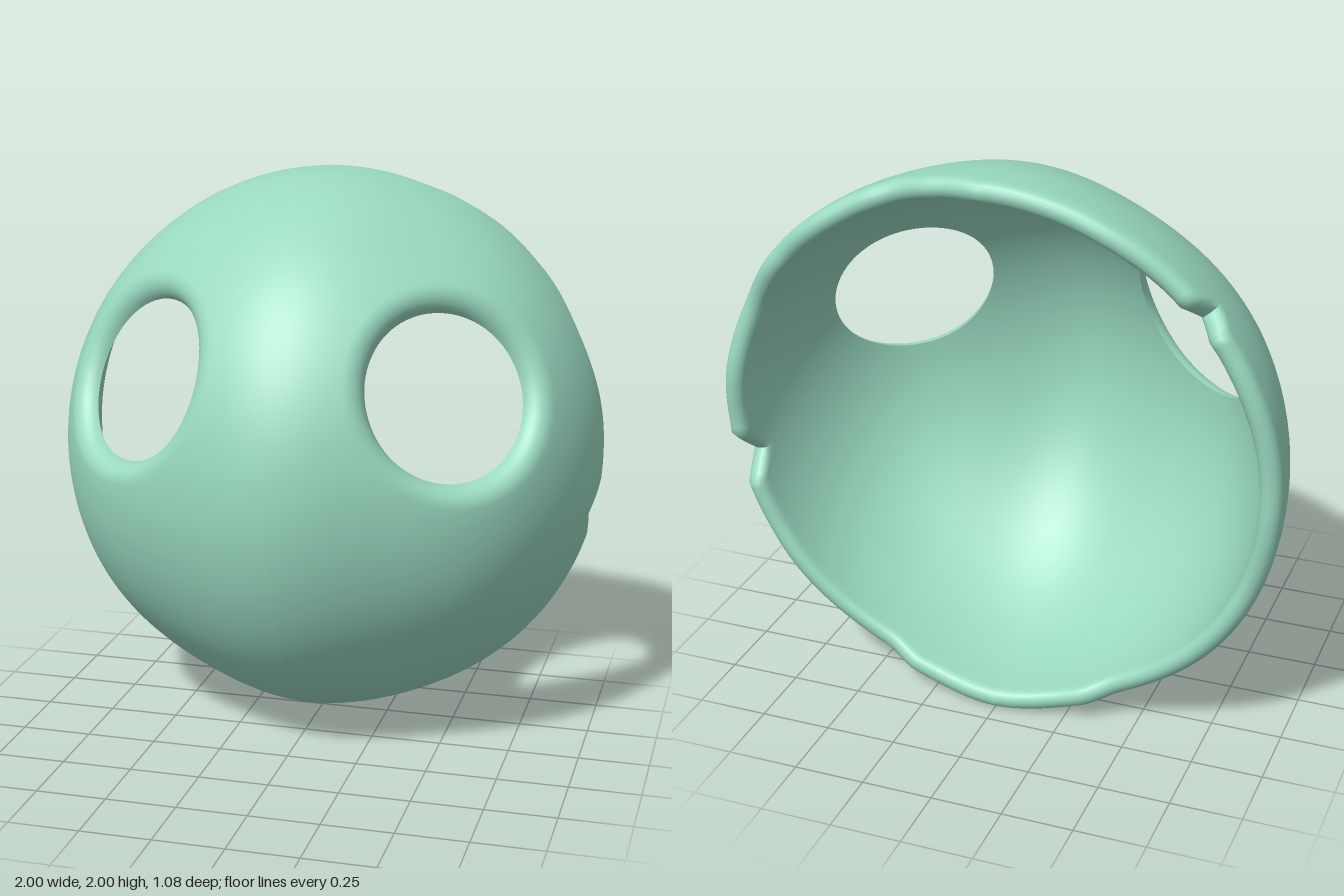
import * as THREE from 'three';
import { toCreasedNormals } from 'three/addons/utils/BufferGeometryUtils.js';

const CENTRE = new THREE.Vector3(0, 1, -0.46);
const INNER = 0.925, EYE_RADIUS = 0.295;
const RIM_STEPS = 120, RIDGE_STEPS = 60, SHEET_STEPS = 24, ROUND_STEPS = 8;

// uneven back edge: [angle in degrees, z]
const RIM = [[-90, -0.44], [-72, -0.41], [-63, -0.37], [-30, -0.4], [-16, -0.41], [-5, -0.44], [10, -0.465],
  [25, -0.45], [41, -0.51], [53, -0.54], [65, -0.52], [72, -0.5], [81, -0.52], [90, -0.54], [114, -0.535],
  [133, -0.51], [150, -0.49], [180, -0.46], [205, -0.42], [243, -0.37], [252, -0.41], [270, -0.44]];
// V-shaped nicks in the edge: [angle, half width, depth]
const NOTCHES = [[-10.5, 6, 0.1], [139.5, 4.5, 0.08]];

function rimZ(deg) {
  let i = 0;
  while (i < RIM.length - 2 && deg > RIM[i + 1][0]) i++;
  const [a, za] = RIM[i], [b, zb] = RIM[i + 1];
  let z = za + (zb - za) * THREE.MathUtils.smoothstep(deg, a, b);
  for (const [c, w, d] of NOTCHES) z += d * Math.max(0, 1 - Math.abs(deg - c) / w);
  return z;
}

// direction from the centre to the edge, short of the rounded lip
function rimDirection(deg, lip) {
  const t = THREE.MathUtils.degToRad(deg), z = rimZ(deg) + lip - CENTRE.z, r = Math.sqrt(1 - z * z);
  return new THREE.Vector3(Math.cos(t) * r, Math.sin(t) * r, z);
}

// dome surface, slightly flattened on either side of the centre ridge
function onDome(dir, radius) {
  const s = Math.sin(Math.PI * Math.min(1, Math.abs(dir.x) / 0.85));
  return dir.clone().multiplyScalar(radius * (1 - 0.04 * Math.max(0, dir.z) * s * s)).add(CENTRE);
}

// one half of the shell, spread outward from the eye hole
function halfShell(side) {
  const lip = (1 - INNER) / 2;
  const eye = new THREE.Vector3(0.6 * side, 0.37, 0.705).normalize();

  // boundary: round the edge, then down the centre ridge
  const boundary = [];
  for (let i = 0; i <= RIM_STEPS; i++) {
    const a = -90 + 180 * i / RIM_STEPS;
    boundary.push(rimDirection(side > 0 ? a : 180 - a, lip));
  }
  for (const i of [0, RIM_STEPS]) boundary[i].x = 0;
  const elevation = (v) => Math.atan2(v.z, v.y);
  const top = elevation(boundary[RIM_STEPS]), bottom = elevation(boundary[0]);
  const span = (bottom < 0 ? bottom + 2 * Math.PI : bottom) - top;
  for (let i = 1; i < RIDGE_STEPS; i++) {
    const a = top + span * i / RIDGE_STEPS;
    boundary.push(new THREE.Vector3(0, Math.cos(a), Math.sin(a)));
  }

  // closed section through the shell for every boundary point
  const hole = Math.asin(EYE_RADIUS / 0.92);
  const columns = boundary.map((end) => {
    const length = Math.acos(eye.dot(end));
    const away = end.clone().addScaledVector(eye, -eye.dot(end)).normalize();
    const at = (a, r) => onDome(eye.clone().multiplyScalar(Math.cos(a)).addScaledVector(away, Math.sin(a)), r);
    const ring = [];
    for (let k = 0; k <= ROUND_STEPS; k++) { // rounded eye lip
      const b = k / ROUND_STEPS * Math.PI / 2;
      ring.push(at(hole + 0.075 * (1 - Math.cos(b)), INNER + (1 - INNER) * Math.sin(b)));
    }
    const start = hole + 0.075;
    for (let k = 1; k <= SHEET_STEPS; k++) ring.push(at(start + (length - start) * k / SHEET_STEPS, 1));
    for (let k = 1; k < ROUND_STEPS; k++) { // rounded back edge
      const b = k / ROUND_STEPS * Math.PI;
      const p = onDome(end, 1 - lip + lip * Math.cos(b));
      p.z -= lip * Math.sin(b);
      ring.push(p);
    }
    for (let k = SHEET_STEPS; k > 0; k--) ring.push(at(hole + (length - hole) * k / SHEET_STEPS, INNER));
    return ring;
  });

  const rows = columns[0].length, count = columns.length;
  const rimStart = ROUND_STEPS + SHEET_STEPS, rimEnd = rimStart + ROUND_STEPS;
  const positions = [], index = [];
  for (const ring of columns) for (const p of ring) positions.push(p.x, p.y, p.z);
  for (let j = 0; j < count; j++) {
    for (let i = 0; i < rows; i++) {
      // the two halves join along the ridge, so no edge is needed there
      if (j >= RIM_STEPS && i >= rimStart && i < rimEnd) continue;
      const n = (j + 1) % count, m = (i + 1) % rows;
      const a = j * rows + i, b = j * rows + m, c = n * rows + m, d = n * rows + i;
      if (side > 0) index.push(a, b, c, a, c, d);
      else index.push(a, c, b, a, d, c);
    }
  }
  return { positions, index };
}

export function createModel() {
  const group = new THREE.Group();
  group.name = 'mask';

  // both halves in one geometry so the shading runs across the ridge
  const left = halfShell(1), right = halfShell(-1);
  const offset = left.positions.length / 3;
  const geometry = new THREE.BufferGeometry();
  geometry.setAttribute('position',
    new THREE.Float32BufferAttribute(left.positions.concat(right.positions), 3));
  geometry.setIndex(left.index.concat(right.index.map((i) => i + offset)));

  const material = new THREE.MeshStandardMaterial({ color: 0x99d9bf });
  const shell = new THREE.Mesh(toCreasedNormals(geometry, 0.9), material);
  shell.name = 'maskShell';
  group.add(shell);
  return group;
}
